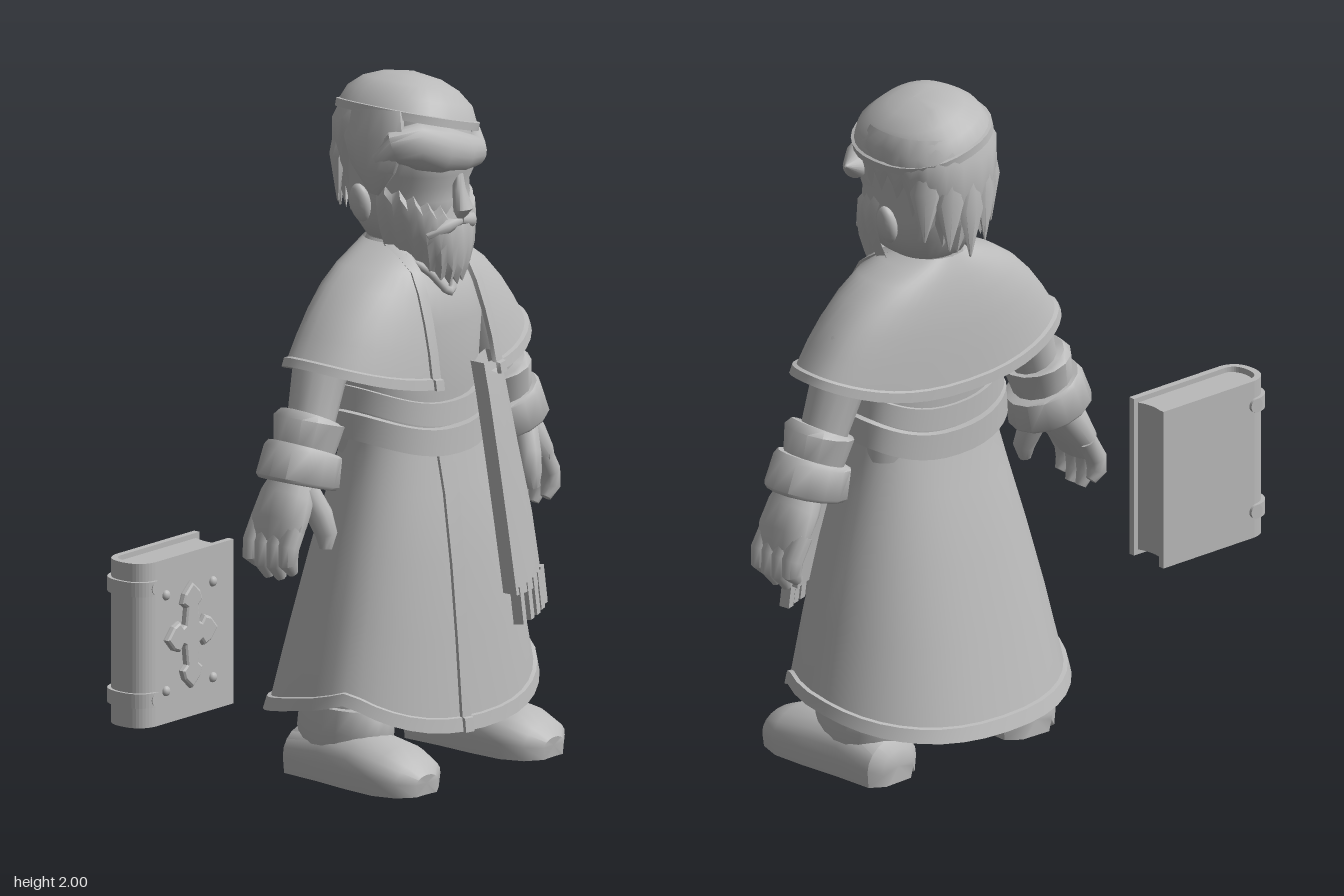
import * as THREE from 'three';
import { toCreasedNormals } from 'three/addons/utils/BufferGeometryUtils.js';

const V = (x, y, z) => new THREE.Vector3(x, y, z);
const POW = 0.88; // slightly boxy body sections

// Surface through a grid of points: i runs around, j runs up
function grid(fn, nu, nv, crease = 0.75) {
  const pos = [], idx = [];
  for (let j = 0; j <= nv; j++) for (let i = 0; i <= nu; i++) pos.push(...fn(i, j));
  for (let j = 0; j < nv; j++) for (let i = 0; i < nu; i++) {
    const a = j * (nu + 1) + i, b = a + 1, c = a + nu + 1, d = c + 1;
    idx.push(a, b, d, a, d, c);
  }
  const g = new THREE.BufferGeometry();
  g.setAttribute('position', new THREE.Float32BufferAttribute(pos, 3));
  g.setIndex(idx);
  return toCreasedNormals(g, crease);
}

// Cloth-like ring from rows [y, halfWidth, front, back]; angle 0 faces +z
function sheet(rows, o = {}) {
  const { zc = 0, n = 40, from = () => 0, to = () => Math.PI * 2, lift = () => 0, us } = o;
  const y0 = rows[0][0], y1 = rows[rows.length - 1][0];
  const w = o.w || (y => (y1 - y) / (y1 - y0));
  const list = us || Array.from({ length: n + 1 }, (_, i) => [i / n, 0]);
  return grid((i, j) => {
    const [y, rx, zf, zb] = rows[j], [t, off] = list[i];
    const a = THREE.MathUtils.lerp(from(rx), to(rx), t), s = Math.sin(a), c = Math.cos(a);
    const rz = c > 0 ? zf - zc : zb + zc;
    return [Math.sign(s) * Math.abs(s) ** POW * (rx + off), y + lift(a, i) * w(y),
      zc + Math.sign(c) * Math.abs(c) ** POW * (rz + off)];
  }, list.length - 1, rows.length - 1);
}
const angleAt = (x, rx) => Math.sign(x) * Math.asin(Math.min(1, Math.abs(x) / rx) ** (1 / POW));

// Tapered limb along points, radii [ra, rb], closed at both ends
function limb(pts, radii, ref = V(0, 0, 1), n = 14) {
  const P = pts.map(p => V(...p)), last = P.length - 1;
  const frames = P.map((p, k) => {
    const d = P[Math.min(last, k + 1)].clone().sub(P[Math.max(0, k - 1)]).normalize();
    const A = d.clone().cross(ref).normalize();
    return [p, A, A.clone().cross(d)];
  });
  return grid((i, j) => {
    const k = Math.min(Math.max(j - 1, 0), last), [p, A, B] = frames[k];
    const r = [].concat(radii[k]), e = j === 0 || j === last + 2 ? 0 : 1, t = -i / n * Math.PI * 2;
    return p.clone().addScaledVector(A, Math.cos(t) * r[0] * e)
      .addScaledVector(B, Math.sin(t) * (r[1] ?? r[0]) * e).toArray();
  }, n, last + 2, 0.9);
}

export function createModel() {
  const root = new THREE.Group(), figure = new THREE.Group(), book = new THREE.Group();
  figure.name = 'figure'; book.name = 'book';
  figure.position.x = 0.31;
  root.add(figure, book);
  const grey = new THREE.MeshStandardMaterial({ color: 0xbababa, side: THREE.DoubleSide });
  grey.name = 'plain grey';
  const add = (parent, name, geo, x = 0, y = 0, z = 0) => {
    const m = new THREE.Mesh(geo, grey);
    m.name = name; m.position.set(x, y, z);
    parent.add(m);
    return m;
  };
  const flat = (path, height, y) => new THREE.ExtrudeGeometry(path, { depth: height, bevelEnabled: false, curveSegments: 10 })
    .rotateX(-Math.PI / 2).translate(0, y, 0);

  // Robe: skirt with hem highest at the sides, front placket, torso, belt
  const hemLift = a => 0.115 * Math.min((1 - Math.cos(a)) / 0.65, (1 + Math.cos(a)) / 1.35);
  const skirt = [[0.15, 0.4, 0.28, 0.3], [0.14, 0.435, 0.315, 0.335], [0.18, 0.427, 0.31, 0.322], [0.182, 0.415, 0.3, 0.31],
    [0.4, 0.372, 0.28, 0.255], [0.62, 0.32, 0.255, 0.2], [0.82, 0.268, 0.225, 0.148], [0.93, 0.243, 0.2, 0.115], [1.0, 0.235, 0.19, 0.1]];
  add(figure, 'skirt', sheet(skirt, { zc: 0.04, lift: hemLift }));
  const strip = off => [[0, 0], [0, off], [0.5, off], [1, off], [1, 0]];
  add(figure, 'placket', sheet(skirt.slice(1), { zc: 0.04, lift: hemLift, us: strip(0.012),
    from: rx => angleAt(-0.07 - 0.1 * (rx - 0.235), rx), to: rx => angleAt(-0.01 - 0.24 * (rx - 0.235), rx) }));
  add(figure, 'torso', sheet([[0.93, 0.235, 0.185, 0.1], [1.1, 0.235, 0.19, 0.105], [1.3, 0.25, 0.2, 0.12],
    [1.4, 0.21, 0.175, 0.115], [1.47, 0.14, 0.13, 0.1], [1.53, 0.09, 0.09, 0.09]]));
  for (const [name, y, h, r] of [['lowerBelt', 0.925, 0.075, 0.022], ['upperBelt', 1.01, 0.065, 0.012]])
    add(figure, name, sheet([[y, 0.23, 0.18, 0.09], [y, 0.24 + r, 0.2 + r, 0.105 + r],
      [y + h, 0.235 + r, 0.195 + r, 0.103 + r], [y + h, 0.22, 0.18, 0.09]],
      { lift: a => 0.06 * Math.sin(a) ** 2, w: () => 1 }));
  add(figure, 'collar', new THREE.TubeGeometry(new THREE.CatmullRomCurve3(
    [V(-0.1, 1.5, 0.1), V(-0.05, 1.45, 0.155), V(0, 1.39, 0.186), V(0.05, 1.45, 0.155), V(0.1, 1.5, 0.1)]), 20, 0.013, 6));

  // Shoulder cape, open at the front, with raised edges
  const cape = [[1.14, 0.43, 0.245, 0.15], [1.135, 0.46, 0.265, 0.175], [1.165, 0.45, 0.26, 0.173], [1.167, 0.437, 0.248, 0.162],
    [1.24, 0.4, 0.235, 0.157], [1.32, 0.352, 0.215, 0.15], [1.4, 0.29, 0.19, 0.14], [1.46, 0.222, 0.165, 0.125],
    [1.5, 0.145, 0.13, 0.112], [1.525, 0.1, 0.1, 0.1]];
  const capeLift = a => 0.09 * Math.sin(a) ** 2;
  const gap = rx => angleAt(Math.min(0.07 + 0.11 * rx, rx * 0.9), rx);
  add(figure, 'cape', sheet(cape, { lift: capeLift, from: gap, to: rx => Math.PI * 2 - gap(rx) }));
  const inner = rx => angleAt(Math.min(0.1 + 0.11 * rx, rx * 0.97), rx);
  add(figure, 'capeEdge', sheet(cape.slice(1), { lift: capeLift, us: strip(0.013), from: gap, to: inner }));
  add(figure, 'capeEdge', sheet(cape.slice(1), { lift: capeLift, us: strip(0.013), from: rx => -inner(rx), to: rx => -gap(rx) }));

  // Stole hanging from the left, with fringe; rows [y, inner x, outer x, inner z, outer z]
  const stole = [[0.5, 0.125, 0.325, 0.327, 0.25], [0.7, 0.112, 0.3, 0.305, 0.235], [0.9, 0.1, 0.268, 0.28, 0.21],
    [1.08, 0.09, 0.24, 0.255, 0.19], [1.17, 0.09, 0.22, 0.235, 0.18]];
  add(figure, 'stole', grid((i, j) => {
    const [y, xl, xr, zl, zr] = stole[j], t = [0, 0, 0.33, 0.67, 1, 1, 0][i];
    const back = [1, 0, 0, 0, 0, 1, 1][i] * 0.05;
    return [xl + (xr - xl) * t, y, zl + (zr - zl) * t * t - back];
  }, 6, 4, 0.6));
  for (let k = 0; k < 5; k++) {
    const t = (k + 0.5) / 5;
    const f = add(figure, 'fringe', new THREE.BoxGeometry(0.028, 0.11, 0.03), 0.13 + 0.205 * t, 0.465 + 0.02 * t, 0.312 - 0.077 * t * t);
    f.rotation.set(-0.1, 0.35, 0.08);
  }

  // Arms, cuffs, hands, legs and shoes, mirrored
  for (const s of [1, -1]) {
    const side = new THREE.Group();
    side.name = s > 0 ? 'leftLimbs' : 'rightLimbs';
    figure.add(side);
    const m = pts => pts.map(([x, y, z]) => [x * s, y, z]);
    add(side, 'sleeve', limb(m([[0.2, 1.38, 0], [0.3, 1.29, 0], [0.355, 1.18, 0], [0.39, 1.08, 0.005], [0.45, 0.93, 0.01]]),
      [0.08, 0.09, 0.078, 0.07, 0.065]));
    add(side, 'upperCuff', limb(m([[0.404, 1.075, 0.01], [0.409, 1.065, 0.01], [0.432, 0.98, 0.01], [0.436, 0.965, 0.01]]),
      [[0.085, 0.09], [0.1, 0.104], [0.088, 0.088], 0.085]));
    add(side, 'lowerCuff', limb(m([[0.432, 0.99, 0.01], [0.436, 0.98, 0.01], [0.46, 0.9, 0.01], [0.463, 0.89, 0.01]]),
      [[0.11, 0.1], [0.12, 0.108], [0.13, 0.114], [0.12, 0.105]]));
    add(side, 'hand', limb(m([[0.465, 0.92, 0.01], [0.505, 0.86, 0.01], [0.54, 0.8, 0.01], [0.562, 0.74, 0.008]]),
      [[0.06, 0.065], [0.062, 0.088], [0.05, 0.097], [0.03, 0.088]]));
    for (let k = 0; k < 4; k++) {
      const z = -0.06 + k * 0.044, d = [0.03, 0, 0, 0.02][k];
      add(side, 'finger', limb(m([[0.535, 0.8, z], [0.572, 0.735, z], [0.575, 0.68 + d / 2, z], [0.553, 0.64 + d, z]]),
        [0.03, 0.031, 0.029, 0.016], V(0, 0, 1), 10));
    }
    add(side, 'thumb', limb(m([[0.48, 0.88, 0.055], [0.457, 0.81, 0.09], [0.448, 0.755, 0.107], [0.455, 0.715, 0.11]]),
      [0.04, 0.038, 0.032, 0.018], V(0, 0, 1), 10));
    add(side, 'leg', limb(m([[0.16, 0.75, 0], [0.2, 0.5, 0], [0.235, 0.24, 0.01], [0.245, 0.08, 0.01]]),
      [0.1, 0.11, [0.1, 0.135], [0.1, 0.13]]));
    add(side, 'shoeCuff', limb(m([[0.24, 0.215, 0.01], [0.24, 0.2, 0.01], [0.25, 0.13, 0.01], [0.255, 0.09, 0.01]]),
      [[0.1, 0.14], [0.108, 0.155], [0.11, 0.155], [0.1, 0.14]], V(0, 0, 1), 20));
    const shoe = limb([[0, 0.05, -0.158], [0, 0.05, -0.13], [0, 0.055, 0], [0, 0.055, 0.12], [0, 0.048, 0.23], [0, 0.04, 0.3], [0, 0.035, 0.335]],
      [[0.06, 0.05], [0.095, 0.08], [0.102, 0.1], [0.115, 0.095], [0.12, 0.08], [0.095, 0.058], [0.045, 0.025]], V(0, 1, 0), 20);
    const p = shoe.attributes.position;
    for (let i = 0; i < p.count; i++) { // flat sole with full-width edge
      const y = p.getY(i);
      p.setY(i, y < 0.03 ? 0 : y);
    }
    add(side, 'shoe', toCreasedNormals(shoe, 0.75), 0.265 * s).rotation.y = 0.04 * s;
  }

  // Head
  const head = new THREE.Group();
  head.name = 'head'; head.position.x = 0.015;
  figure.add(head);
  add(head, 'neck', new THREE.CylinderGeometry(0.085, 0.1, 0.22, 20), -0.01, 1.5, -0.01);
  add(head, 'face', sheet([[1.5, 0.03, 0.12, 0.03], [1.53, 0.1, 0.18, 0.1], [1.6, 0.145, 0.2, 0.14], [1.66, 0.15, 0.202, 0.16],
    [1.7, 0.152, 0.197, 0.17], [1.735, 0.157, 0.215, 0.175], [1.8, 0.165, 0.21, 0.18], [1.9, 0.155, 0.18, 0.17]], { n: 28 }));
  add(head, 'nose', limb([[0, 1.735, 0.2], [0, 1.69, 0.205], [0, 1.635, 0.222], [0, 1.61, 0.208]], [0.016, 0.02, [0.032, 0.026], [0.024, 0.012]]));
  // Full beard rising to the ears, with a jagged lower edge
  add(head, 'beard', sheet([[1.47, 0.07, 0.13, 0], [1.41, 0.1, 0.2, 0], [1.455, 0.122, 0.217, 0], [1.51, 0.145, 0.225, 0],
    [1.56, 0.158, 0.223, 0], [1.6, 0.161, 0.216, 0], [1.63, 0.15, 0.19, 0]], { n: 24, from: () => -1.45, to: () => 1.45,
    lift: (a, i) => 0.06 * Math.sin(a) ** 2 + (i % 2) * 0.024, w: () => 1 }));
  for (const s of [1, -1]) {
    add(head, 'moustache', limb([[0, 1.6, 0.207], [0.05 * s, 1.59, 0.2], [0.1 * s, 1.565, 0.17]], [0.016, 0.024, 0.012]));
    add(head, 'ear', new THREE.SphereGeometry(1, 14, 10).scale(0.024, 0.058, 0.034), 0.165 * s, 1.645, -0.02).rotation.z = -0.2 * s;
  }

  // Hair: jagged back, loose locks, side sweep and fringe
  add(head, 'backHair', sheet([[1.56, 0.15, 0.12, 0.165], [1.66, 0.172, 0.16, 0.19], [1.75, 0.182, 0.18, 0.203],
    [1.84, 0.184, 0.2, 0.2], [1.92, 0.16, 0.17, 0.17]], { n: 26, from: () => 1.2, to: () => Math.PI * 2 - 1.2,
    lift: (a, i) => 0.16 * Math.sin(a) ** 2 + (i % 2) * 0.05 }));
  for (let k = -2; k <= 2; k++) {
    const a = k * 0.38, x = Math.sin(a), z = -Math.cos(a), d = Math.abs(k) * 0.03;
    add(head, 'lock', limb([[x * 0.15, 1.8 + d, z * 0.17], [x * 0.18, 1.7 + d, z * 0.19], [x * 0.18 + 0.01, 1.56 + d, z * 0.2]],
      [0.03, [0.045, 0.024], 0.003], V(x, 0, z), 8));
  }
  add(head, 'sideHair', limb([[-0.15, 1.92, 0.03], [-0.172, 1.84, 0.04], [-0.18, 1.76, 0.04], [-0.165, 1.68, 0.03]],
    [[0.03, 0.09], [0.036, 0.11], [0.03, 0.08], [0.006, 0.02]]));
  add(head, 'fringe', limb([[-0.18, 1.79, 0.06], [-0.165, 1.828, 0.11], [-0.12, 1.83, 0.155], [-0.05, 1.81, 0.18], [0.03, 1.788, 0.185],
    [0.1, 1.775, 0.168], [0.16, 1.775, 0.125], [0.225, 1.805, 0.09]],
    [[0.03, 0.03], [0.055, 0.045], [0.068, 0.052], [0.068, 0.055], [0.058, 0.05], [0.046, 0.045], [0.033, 0.035], 0.003], V(0, 0, 1), 18));

  // Skull cap, tilted
  const cap = add(head, 'cap', sheet([[0, 0.17, 0.19, 0.17], [-0.005, 0.186, 0.216, 0.197], [0.018, 0.186, 0.216, 0.197], [0.02, 0.178, 0.206, 0.188],
    [0.06, 0.163, 0.186, 0.172], [0.095, 0.125, 0.14, 0.135], [0.118, 0.075, 0.085, 0.08], [0.13, 0, 0, 0]], { zc: 0.01, n: 32 }), 0.005, 1.868, 0);
  cap.rotation.z = -0.27;

  // Book: wrapped cover, pages, clasps, rivets and ornament
  const wrap = (h, end, left, t) => {
    const s = new THREE.Shape(), l = left + t;
    s.moveTo(end, h).lineTo(left + 0.06, h).quadraticCurveTo(left, h * 0.9, left, 0).quadraticCurveTo(left, -h * 0.9, left + 0.06, -h)
      .lineTo(end, -h).lineTo(end, t - h).lineTo(left + 0.06, t - h).quadraticCurveTo(l, -h * 0.7, l, 0)
      .quadraticCurveTo(l, h * 0.7, left + 0.06, h - t).lineTo(end, h - t);
    return s;
  };
  add(book, 'cover', flat(wrap(0.073, -0.505, -0.908, 0.02), 0.48, 0.33));
  const pages = new THREE.Shape();
  pages.moveTo(-0.52, 0.054).lineTo(-0.85, 0.054).bezierCurveTo(-0.895, 0.045, -0.895, -0.045, -0.85, -0.054)
    .lineTo(-0.52, -0.054).quadraticCurveTo(-0.545, 0, -0.52, 0.054);
  add(book, 'pages', flat(pages, 0.45, 0.345));
  for (const y of [0.39, 0.715]) {
    add(book, 'clasp', flat(wrap(0.082, -0.85, -0.917, 0.012), 0.042, y));
    for (const z of [0.076, -0.076])
      add(book, 'claspEnd', new THREE.CylinderGeometry(0.021, 0.021, 0.012, 16).rotateX(Math.PI / 2), -0.85, y + 0.021, z);
    for (const x of [-0.802, -0.597]) add(book, 'rivet', new THREE.SphereGeometry(1, 12, 8).scale(0.015, 0.015, 0.012), x, y === 0.39 ? 0.425 : 0.705, 0.073);
  }
  const cross = new THREE.Shape(), pts = [];
  [0.142, 0.102, 0.15, 0.102].forEach((L, k) => {
    for (const [u, v] of [[-0.026, 0.026], [-0.018, L - 0.06], [-0.036, L - 0.046], [-0.028, L - 0.025], [0, L], [0.028, L - 0.025], [0.036, L - 0.046], [0.018, L - 0.06]])
      pts.push(new THREE.Vector2(u, v).rotateAround(new THREE.Vector2(), -k * Math.PI / 2));
  });
  cross.setFromPoints(pts);
  add(book, 'ornament', new THREE.ExtrudeGeometry(cross, { depth: 0.006, bevelThickness: 0.014, bevelSize: 0.008, bevelSegments: 2 }), -0.7, 0.575, 0.07);
  return root;
}
